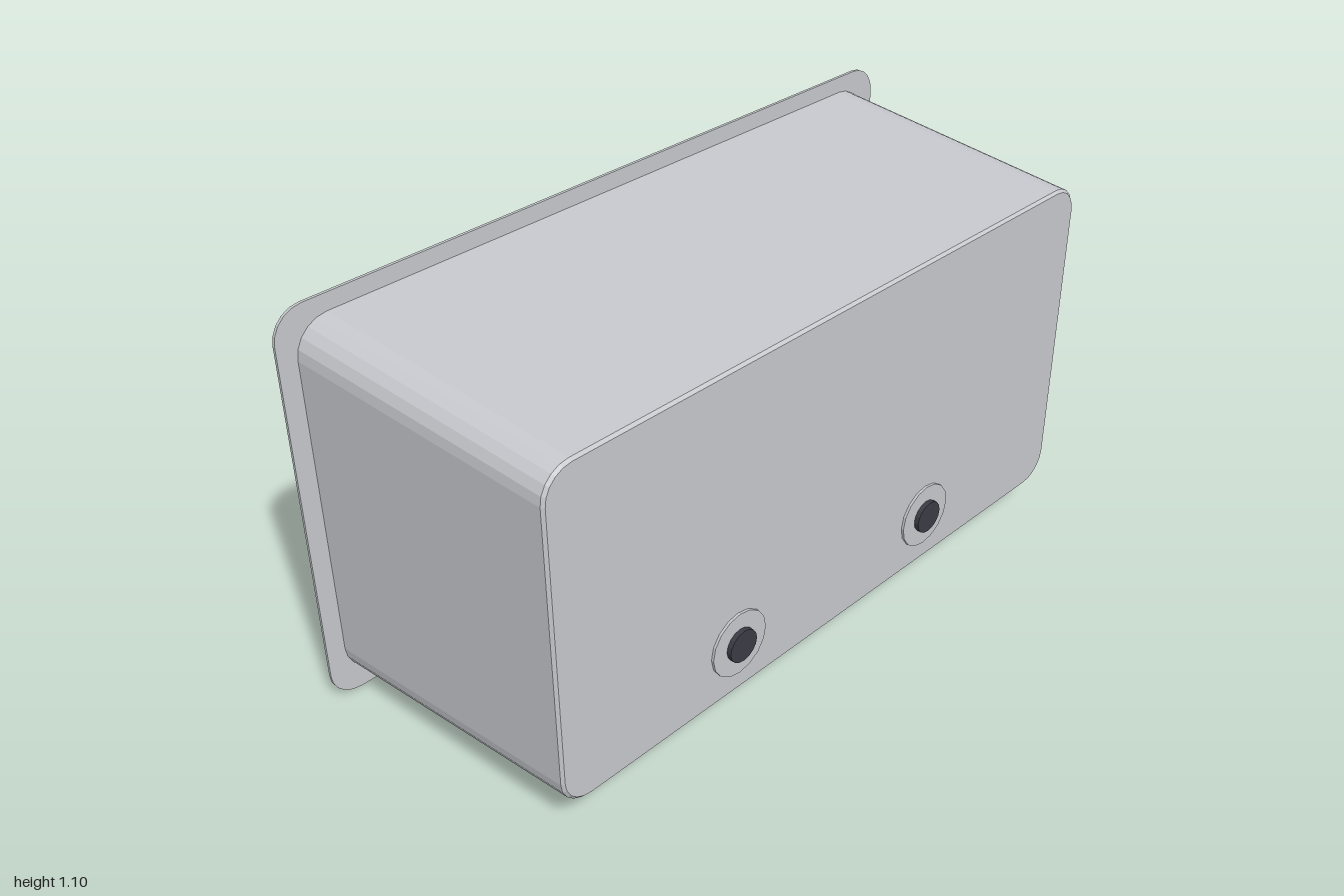
import * as THREE from 'three';

const mat = (name, color, side = THREE.FrontSide) => {
  const m = new THREE.MeshStandardMaterial({ color, side });
  m.name = name;
  return m;
};

export function createModel() {
  const model = new THREE.Group();
  const gray = mat('light gray', 0xc6c8cd, THREE.DoubleSide);
  const orange = mat('orange', 0xd9923f);
  const dark = mat('charcoal', 0x3b3b45);

  // Faceted mesh helper
  const add = (name, geometry, material, parent = model) => {
    const g = geometry.index ? geometry.toNonIndexed() : geometry;
    g.computeVertexNormals();
    const mesh = new THREE.Mesh(g, material);
    mesh.name = name;
    parent.add(mesh);
    return mesh;
  };
  // Box given by its limits
  const box = (name, x0, x1, y0, y1, z0, z1, material, parent) =>
    add(name, new THREE.BoxGeometry(x1 - x0, y1 - y0, z1 - z0)
      .translate((x0 + x1) / 2, (y0 + y1) / 2, (z0 + z1) / 2), material, parent);

  // Rounded rectangle outline, counter-clockwise
  const outline = (hw, y0, y1, r) => {
    const pts = [];
    const corners = [[hw - r, y0 + r, -90], [hw - r, y1 - r, 0], [r - hw, y1 - r, 90], [r - hw, y0 + r, 180]];
    for (const [cx, cy, start] of corners)
      for (let i = 0; i <= 5; i++) {
        const a = THREE.MathUtils.degToRad(start + i * 18);
        pts.push(new THREE.Vector2(cx + r * Math.cos(a), cy + r * Math.sin(a)));
      }
    return pts;
  };

  // Tray: tapered shell, open at the back
  const tray = new THREE.Group();
  tray.name = 'tray';
  model.add(tray);
  const sections = [
    [outline(0.95, 0.05, 1.055, 0.09), -0.38],
    [outline(0.91, 0.097, 1.012, 0.08), 0.378],
    [outline(0.903, 0.104, 1.005, 0.075), 0.385],
  ];
  const pos = [], idx = [], n = sections[0][0].length;
  for (const [pts, z] of sections) for (const p of pts) pos.push(p.x, p.y, z);
  for (let s = 0; s < sections.length - 1; s++)
    for (let i = 0; i < n; i++) {
      const a = s * n + i, b = s * n + (i + 1) % n;
      idx.push(a, b, b + n, a, b + n, a + n);
    }
  const shell = new THREE.BufferGeometry();
  shell.setAttribute('position', new THREE.Float32BufferAttribute(pos, 3));
  shell.setIndex(idx);
  add('trayWalls', shell, gray, tray);
  add('trayPanel', new THREE.ShapeGeometry(new THREE.Shape(sections[2][0])).translate(0, 0, 0.385), gray, tray);

  // Flat rim around the opening
  const rim = new THREE.Shape(outline(1, 0, 1.1, 0.08));
  rim.holes.push(new THREE.Path(sections[0][0].slice().reverse()));
  add('trayRim', new THREE.ExtrudeGeometry(rim, { depth: 0.008, bevelEnabled: false }).translate(0, 0, -0.385), gray, tray);

  // Vehicle inside the tray
  const car = new THREE.Group();
  car.name = 'vehicle';
  model.add(car);

  // Lower body: octagonal plan, with the ends a little lower
  const plan = [[0.53, -0.24], [0.53, 0.24], [0.4, 0.3], [-0.4, 0.3], [-0.53, 0.24], [-0.53, -0.24], [-0.4, -0.3], [0.4, -0.3]];
  const lower = new THREE.ExtrudeGeometry(
    new THREE.Shape(plan.map(([x, y]) => new THREE.Vector2(x, y))), { depth: 0.2, bevelEnabled: false })
    .rotateX(-Math.PI / 2).translate(0, 0.275, 0);
  const lp = lower.attributes.position;
  for (let i = 0; i < lp.count; i++)
    if (Math.abs(lp.getX(i)) > 0.5 && lp.getY(i) > 0.4) lp.setY(i, 0.445);
  add('lowerBody', lower, gray, car);

  // Cabin, narrowing upward, on a thin trim plate
  box('cabinTrim', -0.485, 0.305, 0.465, 0.482, -0.253, 0.253, orange, car);
  const cabin = new THREE.BoxGeometry(0.78, 0.24, 0.5);
  const cp = cabin.attributes.position;
  for (let i = 0; i < cp.count; i++)
    if (cp.getY(i) > 0) {
      cp.setX(i, cp.getX(i) * 0.9);
      cp.setZ(i, cp.getZ(i) * 0.87);
    }
  add('cabin', cabin.translate(-0.09, 0.6, 0), gray, car);

  // Roof turret and hatch
  const disc = (name, r0, r1, y0, y1, material) =>
    add(name, new THREE.CylinderGeometry(r1, r0, y1 - y0, 16).translate(0, (y0 + y1) / 2, 0), material, car);
  disc('turretBase', 0.185, 0.185, 0.715, 0.765, orange);
  disc('turretBand', 0.178, 0.178, 0.765, 0.815, dark);
  disc('turretCap', 0.185, 0.165, 0.815, 0.875, orange);
  box('roofHatch', 0.15, 0.27, 0.715, 0.78, -0.06, 0.06, orange, car);

  // Chassis, sills and bumpers
  box('chassis', -0.52, 0.52, 0.18, 0.28, -0.22, 0.22, dark, car);
  for (const s of [-1, 1]) {
    box('sill', -0.5, 0.5, 0.235, 0.285, s * 0.28 - 0.04, s * 0.28 + 0.04, orange, car);
    add('bumper', new THREE.CylinderGeometry(0.03, 0.03, 0.52, 8)
      .rotateX(Math.PI / 2).translate(s * 0.56, 0.245, 0), dark, car);
  }
  box('skidBar', -0.63, -0.55, 0.185, 0.215, -0.28, 0.28, orange, car);
  box('skidMount', -0.57, -0.48, 0.19, 0.235, -0.12, 0.12, dark, car);

  // Wheels: chamfered tyre, pale rim disc and dark cap
  const tyreProfile = [[0, 0.25], [0.13, 0.25], [0.16, 0.285], [0.16, 0.355], [0.135, 0.382], [0, 0.382]]
    .map(([r, y]) => new THREE.Vector2(r, y));
  const round = (r, y0, y1) => new THREE.CylinderGeometry(r, r, y1 - y0, 16).translate(0, (y0 + y1) / 2, 0);
  for (const x of [-0.353, 0.353]) {
    for (const s of [-1, 1]) {
      const wheel = new THREE.Group();
      wheel.name = 'wheel';
      wheel.position.set(x, 0.245, 0);
      wheel.rotation.x = s * Math.PI / 2;
      car.add(wheel);
      add('tyre', new THREE.LatheGeometry(tyreProfile, 16), dark, wheel);
      add('wheelDisc', round(0.09, 0.37, 0.392), gray, wheel);
      add('wheelCap', round(0.045, 0.37, 0.405), dark, wheel);
    }
    add('axle', new THREE.CylinderGeometry(0.035, 0.035, 0.6, 12)
      .rotateX(Math.PI / 2).translate(x, 0.245, 0), dark, car);
  }
  return model;
}
